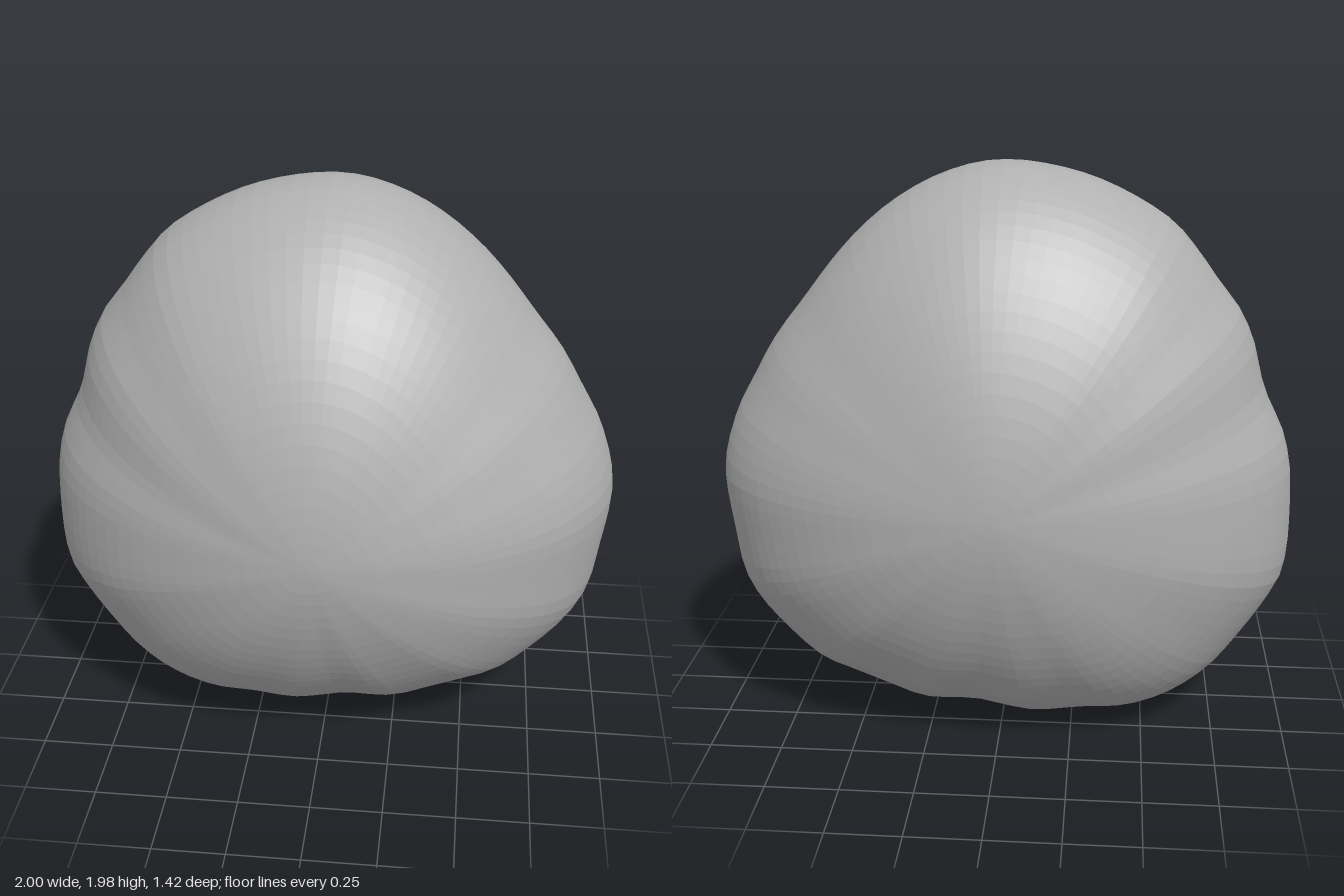
import * as THREE from 'three';

// Outline of the stone at its widest slice, counterclockwise from the right edge
const OUTLINE = [
  [1, 0.9], [0.985, 1], [0.94, 1.13], [0.88, 1.24], [0.8, 1.38], [0.7, 1.51], [0.6, 1.64],
  [0.5, 1.75], [0.38, 1.85], [0.25, 1.925], [0.1, 1.975], [-0.02, 1.985], [-0.15, 1.97],
  [-0.3, 1.93], [-0.45, 1.86], [-0.57, 1.78], [-0.65, 1.69], [-0.73, 1.58], [-0.8, 1.49],
  [-0.85, 1.38], [-0.88, 1.26], [-0.91, 1.18], [-0.96, 1.08], [-0.99, 0.97], [-1, 0.85],
  [-1, 0.65], [-0.985, 0.56], [-0.94, 0.47], [-0.85, 0.33], [-0.75, 0.2], [-0.62, 0.1],
  [-0.47, 0.04], [-0.3, 0.025], [-0.12, 0.005], [0, 0.025], [0.1, 0.045], [0.2, 0.043],
  [0.3, 0.048], [0.4, 0.085], [0.55, 0.145], [0.68, 0.2], [0.8, 0.31], [0.9, 0.43],
  [0.95, 0.53], [0.975, 0.68],
];
const CENTRE = { x: 0, y: 0.94, z: -0.05 };
const FRONT_DEPTH = 0.76, BACK_DEPTH = 0.66;
const SIDES = 96, RINGS = 48;

// Shrinks the outline ring by ring towards a front and a back pole
function stoneGeometry() {
  const curve = new THREE.CatmullRomCurve3(
    OUTLINE.map(([x, y]) => new THREE.Vector3(x, y, 0)), true);
  const rim = curve.getSpacedPoints(SIDES);
  const positions = [], index = [];
  for (let i = 0; i <= RINGS; i++) {
    const phi = (i / RINGS) * Math.PI;
    const scale = Math.pow(Math.max(0, Math.sin(phi)), 1.15);
    const c = Math.cos(phi);
    const z = CENTRE.z + c * (c > 0 ? FRONT_DEPTH : BACK_DEPTH);
    for (let j = 0; j < SIDES; j++) {
      positions.push(
        CENTRE.x + (rim[j].x - CENTRE.x) * scale,
        CENTRE.y + (rim[j].y - CENTRE.y) * scale,
        z);
    }
  }
  for (let i = 0; i < RINGS; i++) {
    for (let j = 0; j < SIDES; j++) {
      const k = (j + 1) % SIDES;
      const a = i * SIDES + j, b = a + SIDES;
      const d = i * SIDES + k, e = d + SIDES;
      if (i < RINGS - 1) index.push(a, b, e);
      if (i > 0) index.push(a, e, d);
    }
  }
  const geometry = new THREE.BufferGeometry();
  geometry.setAttribute('position', new THREE.Float32BufferAttribute(positions, 3));
  geometry.setIndex(index);
  geometry.computeVertexNormals();
  return geometry;
}

export function createModel() {
  const group = new THREE.Group();
  group.name = 'pebble';
  const stone = new THREE.MeshStandardMaterial({ color: 0xb0b0b0, flatShading: true });
  stone.name = 'stone grey';
  const body = new THREE.Mesh(stoneGeometry(), stone);
  body.name = 'stoneBody';
  group.add(body);
  return group;
}
